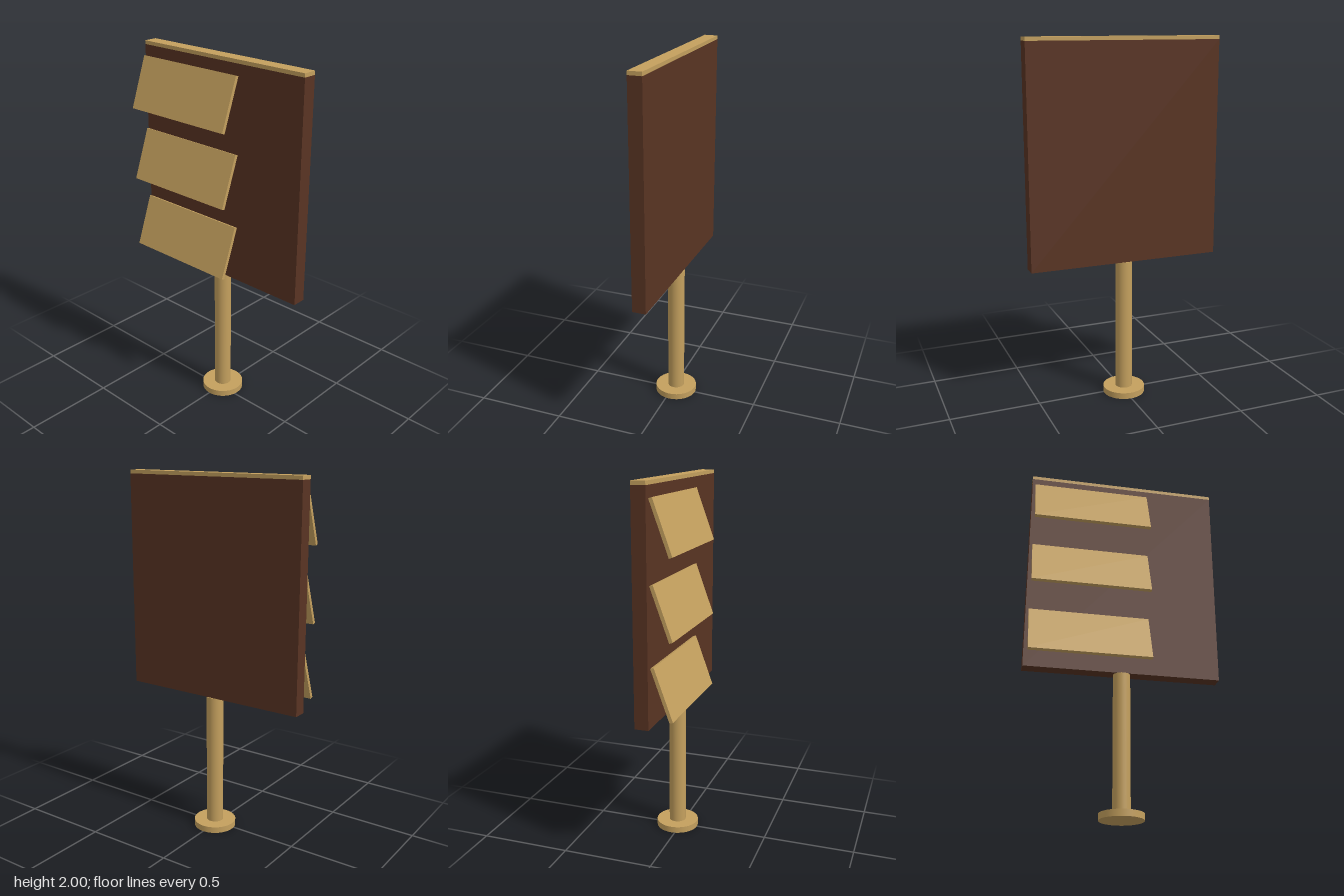
import * as THREE from 'three';

export function createModel() {
  const model = new THREE.Group();
  model.name = 'signboard';

  const paleWood = new THREE.MeshStandardMaterial({ color: 0xc4a05e });
  paleWood.name = 'paleWood';
  const darkWood = new THREE.MeshStandardMaterial({ color: 0x593423 });
  darkWood.name = 'darkWood';

  const add = (name, geometry, material, x, y, z) => {
    const mesh = new THREE.Mesh(geometry, material);
    mesh.name = name;
    mesh.position.set(x, y, z);
    model.add(mesh);
    return mesh;
  };

  // Round foot and post
  const axisZ = -0.021;
  add('base', new THREE.CylinderGeometry(0.118, 0.118, 0.035, 48), paleWood, 0, 0.0175, axisZ);
  add('post', new THREE.CylinderGeometry(0.047, 0.047, 0.75, 32), paleWood, 0, 0.41, axisZ);

  // Board with a pale strip along its top
  const width = 1.08, depth = 0.075;
  add('board', new THREE.BoxGeometry(width, 1.195, depth), darkWood, 0, 1.3825, axisZ - 0.002);
  add('topStrip', new THREE.BoxGeometry(width, 0.02, depth), paleWood, 0, 1.99, axisZ - 0.002);

  // Three tilted panels, lower edges forward
  const panel = new THREE.BoxGeometry(0.665, 0.291, 0.019);
  [1.787, 1.379, 0.971].forEach((y, i) => {
    const mesh = add(`panel${i + 1}`, panel, paleWood, -0.192, y, 0.08);
    mesh.rotation.x = -THREE.MathUtils.degToRad(20);
  });

  return model;
}
